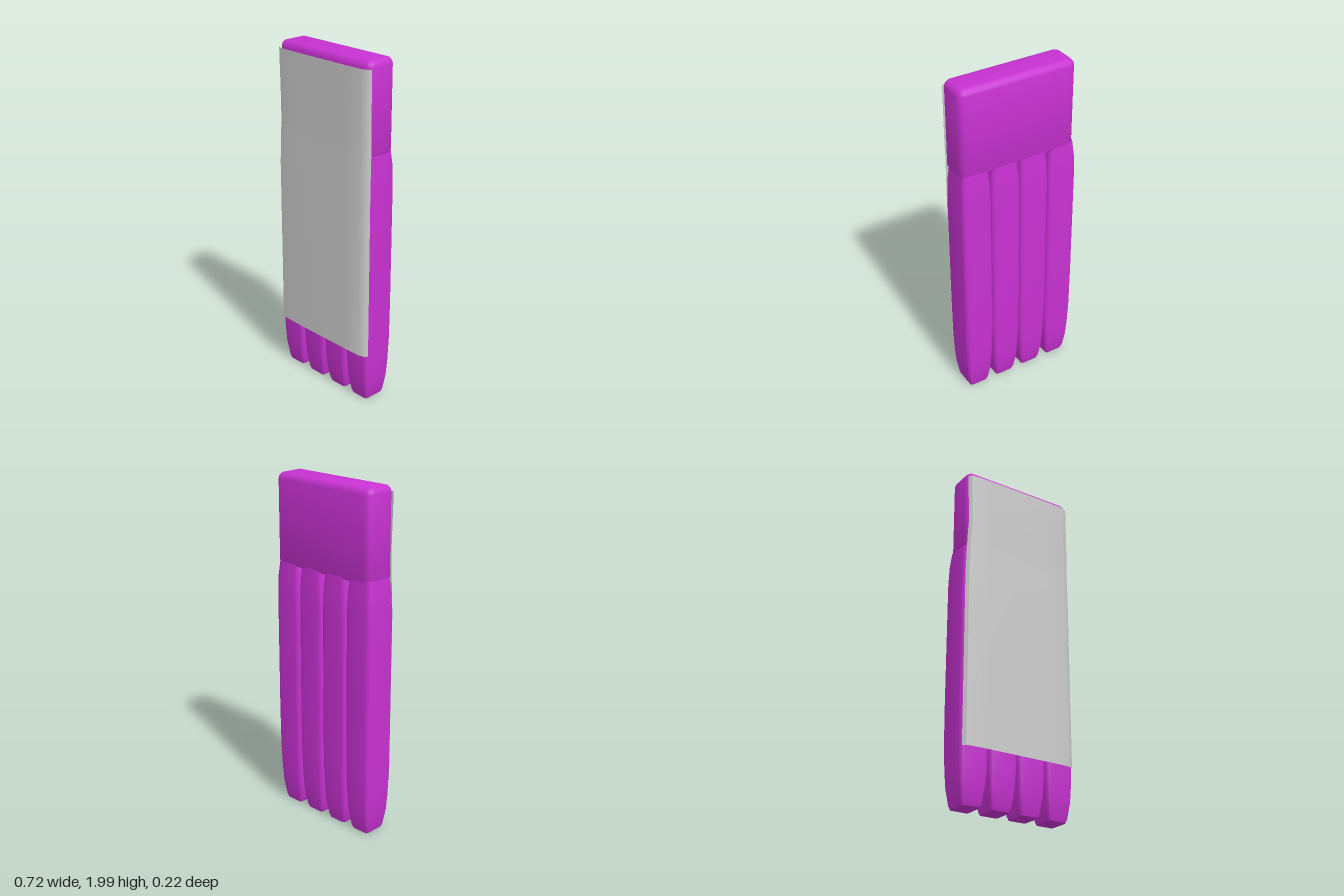
import * as THREE from 'three';
import { toCreasedNormals } from 'three/addons/utils/BufferGeometryUtils.js';

const purple = new THREE.MeshStandardMaterial({ color: 0xc832d2 });
purple.name = 'purple';
const paper = new THREE.MeshStandardMaterial({ color: 0xcccccc, side: THREE.DoubleSide });
paper.name = 'light grey';

// Rounded rectangle ring, running counter-clockwise in (x, -z)
function ring({ y, x0, x1, z0, z1, r }) {
  const points = [];
  const corners = [[x1 - r, z0 + r], [x0 + r, z0 + r], [x0 + r, z1 - r], [x1 - r, z1 - r]];
  corners.forEach(([cx, cz], c) => {
    for (let i = 0; i <= 4; i++) {
      const a = (c + i / 4) * Math.PI / 2;
      points.push([cx + r * Math.cos(a), y, cz - r * Math.sin(a)]);
    }
  });
  return points;
}

// Grid of quads through rows of points, optionally closed round and capped
function skin(rows, closed) {
  const n = rows[0].length;
  const index = [];
  for (let j = 0; j < rows.length - 1; j++) {
    for (let i = 0; i < (closed ? n : n - 1); i++) {
      const a = j * n + i, b = j * n + (i + 1) % n;
      index.push(a, b, b + n, a, b + n, a + n);
    }
  }
  if (closed) {
    const top = (rows.length - 1) * n;
    for (let i = 1; i < n - 1; i++) {
      index.push(0, i + 1, i);
      index.push(top, top + i, top + i + 1);
    }
  }
  const geometry = new THREE.BufferGeometry();
  geometry.setAttribute('position', new THREE.Float32BufferAttribute(rows.flat(2), 3));
  geometry.setIndex(index);
  return toCreasedNormals(geometry, 0.6);
}

function add(group, name, geometry, material) {
  const mesh = new THREE.Mesh(geometry, material);
  mesh.name = name;
  group.add(mesh);
}

export function createModel() {
  const group = new THREE.Group();
  group.name = 'stickPack';

  // Joined block at the top, with rounded rims: [height, inset]
  const rims = [[1.485, 0.02], [1.491, 0.006], [1.505, 0], [1.965, 0], [1.982, 0.005], [1.995, 0.017], [2, 0.033]];
  add(group, 'topBlock', skin(rims.map(([y, d]) => ring({
    y, x0: -0.345 + d, x1: 0.357 - d, z0: -0.1 + d, z1: 0.088 - d, r: 0.042 - d,
  })), true), purple);

  // Four sticks, tapering at both ends: [height, side inset, back z, front z]
  const stations = [
    [0.008, 0.034, -0.075, 0.055], [0.03, 0.026, -0.082, 0.062], [0.12, 0.013, -0.096, 0.077],
    [0.22, 0.006, -0.103, 0.084], [0.36, 0.001, -0.108, 0.087], [0.6, 0, -0.11, 0.088],
    [1.3, 0, -0.109, 0.087], [1.42, 0.004, -0.106, 0.082], [1.51, 0.013, -0.098, 0.074],
  ];
  for (let k = 0; k < 4; k++) {
    const center = -0.27 + k * 0.18;
    add(group, `stick${k + 1}`, skin(stations.map(([y, d, z0, z1]) => ring({
      y, x0: center - 0.09 + d, x1: center + 0.09 - d, z0, z1, r: Math.min(0.028, 0.014 + y * 0.05),
    })), true), purple);
  }

  // Paper wrapped over the front, slightly pinched where the sticks meet the block
  const bend = [
    [-0.35, 0.083], [-0.335, 0.1], [-0.28, 0.105], [-0.2, 0.107],
    [0.2, 0.107], [0.31, 0.105], [0.345, 0.092], [0.358, 0.075],
  ];
  // [height, shift of the right-hand edge, depth shift]
  const levels = [[0.31, 0, 0], [1.3, 0, 0], [1.45, 0.006, -0.002], [1.55, 0.01, -0.003], [1.65, 0.015, 0], [1.96, 0.008, 0]];
  add(group, 'paperSheet', skin(levels.map(([y, s, dz]) => bend.map(([x, z]) => [
    x < -0.3 ? x + s : x, y, z + dz,
  ])), false), paper);

  return group;
}
